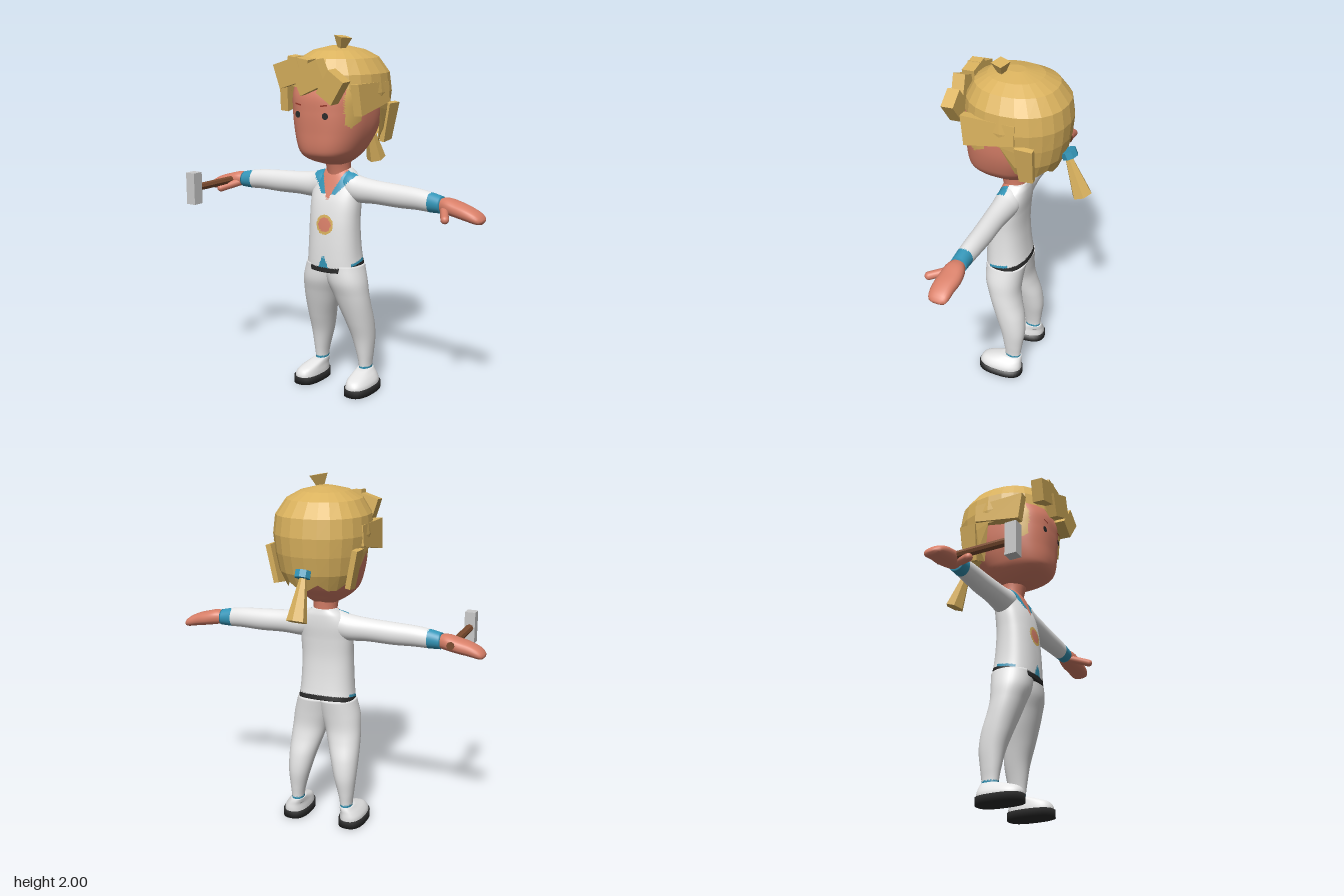
import * as THREE from 'three';

const mat = (name, color, side = THREE.FrontSide) => Object.assign(new THREE.MeshStandardMaterial({ color, side }), { name });

// Hermite interpolation of cross-section rows [t, a0, a1, b0, b1]
function sample(rows, t, smooth) {
  let i = 0;
  while (i < rows.length - 2 && t > rows[i + 1][0]) i++;
  const p = rows[i], q = rows[i + 1], h = q[0] - p[0];
  const u = THREE.MathUtils.clamp((t - p[0]) / h, 0, 1);
  const o = rows[Math.max(i - 1, 0)], r = rows[Math.min(i + 2, rows.length - 1)];
  return p.map((v, k) => {
    if (!smooth) return v + (q[k] - v) * u;
    const m0 = (q[k] - o[k]) / (q[0] - o[0]) * h, m1 = (r[k] - v) / (r[0] - p[0]) * h;
    const u2 = u * u, u3 = u2 * u;
    return (2 * u3 - 3 * u2 + 1) * v + (u3 - 2 * u2 + u) * m0 + (3 * u2 - 2 * u3) * q[k] + (u3 - u2) * m1;
  });
}

// Skin through superellipse sections along y (a = x, b = z) or along x (a = y, b = z)
function loft(rows, { axis = 'y', n = 0, seg = 32, p = 2, floor = null, mirror = false } = {}) {
  const first = rows[0][0], last = rows[rows.length - 1][0];
  const ts = n ? Array.from({ length: n + 1 }, (_, i) => first + (last - first) * i / n) : rows.map(r => r[0]);
  const pos = [], idx = [];
  const pow = v => Math.sign(v) * Math.pow(Math.abs(v), 2 / p);
  const ring = (t, size) => {
    for (let j = 0; j < seg; j++) {
      const a = j / seg * Math.PI * 2, tt = floor ? Math.max(t, floor(a, j)) : t;
      const [, a0, a1, b0, b1] = sample(rows, tt, n > 0);
      const u = (a0 + a1) / 2 + (a1 - a0) / 2 * size * pow(Math.sin(a));
      const w = (b0 + b1) / 2 + (b1 - b0) / 2 * size * pow(Math.cos(a));
      const [x, y] = axis === 'y' ? [u, tt] : [tt, u];
      pos.push(mirror ? -x : x, y, w);
    }
  };
  if (!floor) ring(first, 0);
  ts.forEach(t => ring(t, 1));
  ring(last, 0);
  const flip = (axis === 'x') !== mirror;
  for (let i = 0; i < pos.length / 3 / seg - 1; i++) for (let j = 0; j < seg; j++) {
    const k = (j + 1) % seg, a = i * seg + j, b = i * seg + k, c = b + seg, d = a + seg;
    idx.push(...(flip ? [a, c, b, a, d, c] : [a, b, c, a, c, d]));
  }
  const g = new THREE.BufferGeometry();
  g.setAttribute('position', new THREE.Float32BufferAttribute(pos, 3));
  g.setIndex(idx);
  g.computeVertexNormals();
  return g;
}

// Sort triangles into material groups by a rule on their centre
function paint(g, rule) {
  const p = g.attributes.position, src = g.index.array, bins = new Map();
  const c = new THREE.Vector3(), v = new THREE.Vector3();
  for (let i = 0; i < src.length; i += 3) {
    c.set(0, 0, 0);
    for (let k = 0; k < 3; k++) c.add(v.fromBufferAttribute(p, src[i + k]));
    c.divideScalar(3);
    const m = rule(c.x, c.y, c.z);
    if (!bins.has(m)) bins.set(m, []);
    bins.get(m).push(src[i], src[i + 1], src[i + 2]);
  }
  const all = [], mats = [...bins.keys()];
  mats.forEach((m, k) => {
    g.addGroup(all.length, bins.get(m).length, k);
    for (const i of bins.get(m)) all.push(i);
  });
  g.setIndex(all);
  return mats;
}

export function createModel() {
  const white = mat('white cloth', 0xe6e6e6), blue = mat('blue trim', 0x3496b8), skin = mat('skin', 0xd98069);
  const hair = mat('blond hair', 0xdab25e, THREE.DoubleSide), dark = mat('dark rubber', 0x2a2a2a);
  const brown = mat('brown wood', 0x7c4c30), steel = mat('steel', 0xc9c9c9), brow = mat('brow red', 0x96392a);
  const root = new THREE.Group();
  const add = (name, g, m, at, rot) => {
    const o = new THREE.Mesh(g, m);
    o.name = name;
    if (at) o.position.set(...at);
    if (rot) o.rotation.set(...rot);
    root.add(o);
    return o;
  };
  const painted = (name, g, rule) => add(name, g, paint(g, rule));
  const flat = g => { const f = g.index ? g.toNonIndexed() : g; f.computeVertexNormals(); return f; };

  // Jacket pattern: open collar, emblem, lower notch and belt
  const jacket = (x, y, z) => {
    const ax = Math.abs(x), hem = y + 0.19 * (z - 0.04);
    if (hem < 0.757) return dark;
    if (ax > 0.13 && y < 0.8 && z > -0.01 && z < 0.1 && hem < 0.772) return blue;
    if (z > 0.015) {
      const r = Math.hypot(x, y - 0.975);
      if (r < 0.055) return r < 0.04 ? skin : hair;
      if (y < 0.81 && ax < (0.81 - y) * 0.45) return blue;
      if (y > 1.1 && ax < (y - 1.1) * 0.44) return skin;
      if (y > 1.14 && ax < 0.045 + (y - 1.14) * 0.86) return blue;
    }
    return white;
  };
  const torso = loft([
    [0.73, -0.165, 0.165, -0.085, 0.16], [0.8, -0.156, 0.156, -0.075, 0.16], [0.9, -0.15, 0.15, -0.066, 0.155],
    [1.0, -0.148, 0.148, -0.062, 0.145], [1.1, -0.15, 0.15, -0.067, 0.125], [1.18, -0.145, 0.145, -0.075, 0.095],
    [1.24, -0.11, 0.11, -0.075, 0.07], [1.275, -0.065, 0.065, -0.068, 0.05]], { n: 110, seg: 112, p: 2.4 });
  const tp = torso.attributes.position;
  for (let i = 0; i < tp.count; i++) {
    const y = tp.getY(i);
    tp.setY(i, y - 0.19 * (tp.getZ(i) - 0.04) * THREE.MathUtils.clamp((1 - y) / 0.2, 0, 1));
  }
  torso.computeVertexNormals();
  painted('jacket', torso, jacket);
  add('neck', loft([[1.2, -0.07, 0.07, -0.06, 0.06], [1.27, -0.066, 0.066, -0.062, 0.075],
    [1.35, -0.075, 0.075, -0.07, 0.1]], { n: 8 }), skin);

  for (const mirror of [false, true]) {
    const s = mirror ? -1 : 1, side = mirror ? 'right' : 'left';
    // Arm, cuff and hand
    painted(side + 'Sleeve', loft([
      [0.03, 1.11, 1.262, -0.06, 0.07], [0.09, 1.1, 1.26, -0.06, 0.08], [0.15, 1.095, 1.242, -0.05, 0.08],
      [0.25, 1.1, 1.23, -0.04, 0.077], [0.4, 1.097, 1.222, -0.037, 0.072], [0.52, 1.1, 1.215, -0.03, 0.07],
      [0.6, 1.098, 1.204, -0.022, 0.07], [0.665, 1.1, 1.19, -0.02, 0.07]], { axis: 'x', n: 70, seg: 40, mirror }),
      (x, y, z) => Math.abs(x) > 0.593 + (y - 1.15) * 0.05 ? blue : jacket(x, y, z));
    add(side + 'Hand', loft([
      [0.65, 1.11, 1.18, -0.01, 0.06], [0.7, 1.1, 1.186, -0.03, 0.078], [0.76, 1.09, 1.172, -0.037, 0.085],
      [0.82, 1.08, 1.155, -0.03, 0.088], [0.87, 1.071, 1.132, -0.026, 0.084], [0.895, 1.072, 1.112, -0.015, 0.072],
      [0.903, 1.082, 1.1, 0.005, 0.055]], { axis: 'x', n: 24, seg: 24, p: 2.3, mirror }), skin);
    const a = new THREE.Vector3(s * 0.69, 1.125, 0.055), b = new THREE.Vector3(s * 0.745, 1.1, 0.15);
    const d = b.clone().sub(a), thumb = add(side + 'Thumb', new THREE.CapsuleGeometry(0.022, d.length(), 6, 14), skin);
    thumb.position.copy(a).add(b).multiplyScalar(0.5);
    thumb.quaternion.setFromUnitVectors(new THREE.Vector3(0, 1, 0), d.normalize());

    // Leg with ankle band, then shoe
    painted(side + 'Leg', loft([
      [0.09, 0.118, 0.186, -0.09, 0.0], [0.14, 0.117, 0.187, -0.092, 0.003], [0.2, 0.105, 0.194, -0.1, 0.012],
      [0.3, 0.078, 0.204, -0.112, 0.032], [0.4, 0.05, 0.208, -0.103, 0.066], [0.5, 0.018, 0.207, -0.076, 0.1],
      [0.57, -0.004, 0.203, -0.064, 0.122], [0.65, -0.035, 0.195, -0.068, 0.146], [0.745, -0.06, 0.17, -0.08, 0.15]],
      { n: 70, seg: 36, p: 2.15, mirror }), (x, y) => y > 0.113 && y < 0.133 ? blue : white);
    add(side + 'Shoe', loft([
      [0.035, 0.106, 0.244, -0.105, 0.156], [0.06, 0.108, 0.24, -0.105, 0.152], [0.085, 0.112, 0.224, -0.102, 0.13],
      [0.105, 0.114, 0.204, -0.1, 0.07], [0.12, 0.116, 0.19, -0.096, 0.015]], { n: 14, seg: 36, p: 2.4, mirror }), white);
    add(side + 'Sole', loft([
      [0, 0.1, 0.25, -0.11, 0.16], [0.042, 0.1, 0.25, -0.11, 0.16]], { seg: 32, p: 2.6, mirror }), dark);
  }

  // Head with painted sideburns and scalp
  const headRows = [
    [1.305, -0.06, 0.06, -0.05, 0.1], [1.33, -0.105, 0.105, -0.08, 0.18], [1.36, -0.14, 0.14, -0.11, 0.235],
    [1.4, -0.167, 0.167, -0.15, 0.256], [1.5, -0.2, 0.2, -0.22, 0.265], [1.6, -0.213, 0.213, -0.25, 0.27],
    [1.7, -0.213, 0.213, -0.25, 0.265], [1.8, -0.195, 0.195, -0.23, 0.215], [1.88, -0.13, 0.13, -0.16, 0.13]];
  painted('head', loft(headRows, { n: 64, seg: 80, p: 2.5 }), (x, y, z) => {
    const ax = Math.abs(x);
    if (y > 1.75 || (ax > 0.168 && z > 0.09 && y > 1.52 + Math.abs(z - 0.16) * 0.6)) return hair;
    return z < -0.12 && y > 1.44 ? hair : skin;
  });
  const faceZ = (x, y) => {
    const [, , hw, z0, z1] = sample(headRows, y, true);
    return (z0 + z1) / 2 + (z1 - z0) / 2 * Math.pow(1 - Math.pow(Math.abs(x) / hw, 2.5), 0.4) + 0.004;
  };
  for (const s of [1, -1]) {
    add('eye', new THREE.CircleGeometry(0.018, 20), dark, [s * 0.088, 1.588, faceZ(0.088, 1.588)], [0, s * 0.14, 0]);
    add('eyebrow', new THREE.PlaneGeometry(0.042, 0.008), brow, [s * 0.082, 1.643, faceZ(0.082, 1.643)], [0, s * 0.12, s * 0.15]);
  }

  // Faceted hair cap, cut higher over the face and ragged at the nape
  add('hairCap', flat(loft([
    [1.41, -0.19, 0.19, -0.235, 0.22], [1.5, -0.232, 0.232, -0.275, 0.25], [1.6, -0.25, 0.25, -0.297, 0.262],
    [1.7, -0.262, 0.262, -0.305, 0.268], [1.8, -0.252, 0.252, -0.29, 0.256], [1.88, -0.2, 0.2, -0.23, 0.215],
    [1.92, -0.13, 0.13, -0.15, 0.15], [1.942, -0.04, 0.04, -0.05, 0.05]], {
    seg: 24, p: 2.2, floor: (a, j) => {
      const deg = Math.abs(((a * 180 / Math.PI + 180) % 360) - 180);
      return deg < 50 ? 1.73 : deg < 102 ? 1.62 : j % 3 === 1 ? 1.45 : 1.415;
    } })), hair);

  // Side locks
  const plate = (pts, depth) => new THREE.ExtrudeGeometry(
    new THREE.Shape(pts.map(q => new THREE.Vector2(...q))), { depth, bevelEnabled: false })
    .rotateY(-Math.PI / 2).translate(depth / 2, 0, 0);
  for (const s of [1, -1]) {
    add('templeLock', plate([[0.2, 0.08], [-0.1, 0.08], [-0.1, -0.03], [0, -0.05], [0.18, -0.085]], 0.05), hair,
      [s * 0.235, 1.675, 0], [0, 0, s * 0.06]);
    add('rearLock', plate([[-0.1, 0.11], [-0.2, 0.11], [-0.19, -0.1], [-0.11, -0.11]], 0.03), hair,
      [s * 0.226, 1.53, 0], [0, 0, -s * 0.2]);
  }
  // Fringe blocks: x, y, z, width, height, turn
  for (const [x, y, z, w, h, turn] of [[-0.12, 1.81, 0.27, 0.16, 0.13, 0.3], [-0.06, 1.835, 0.268, 0.13, 0.11, -0.15],
    [0.02, 1.79, 0.283, 0.175, 0.135, 0.4], [0.152, 1.745, 0.28, 0.11, 0.145, -0.6]])
    add('fringe', new THREE.BoxGeometry(w, h, 0.07), hair, [x, y, z], [0.06, 0, turn]);

  // Crown tuft and ponytail
  add('tuft', flat(new THREE.CylinderGeometry(0.05, 0.02, 0.065, 4)), hair, [0.058, 1.96, 0.058], [0.08, 0.4, -0.2]);
  add('hairBand', flat(new THREE.CylinderGeometry(0.044, 0.044, 0.04, 8)), blue, [0, 1.515, -0.3], [0.42, 0, 0]);
  add('ponytail', flat(new THREE.CylinderGeometry(0.016, 0.056, 0.25, 6)), hair, [0, 1.395, -0.335], [0.38, 0, 0]);

  // Hammer held in the right hand
  add('hammerHandle', flat(new THREE.CylinderGeometry(0.022, 0.022, 0.41, 8)), brown, [-0.73, 1.14, 0.165], [Math.PI / 2, 0, 0]);
  add('hammerHead', new THREE.BoxGeometry(0.06, 0.18, 0.064), steel, [-0.73, 1.14, 0.392]);
  return root;
}
